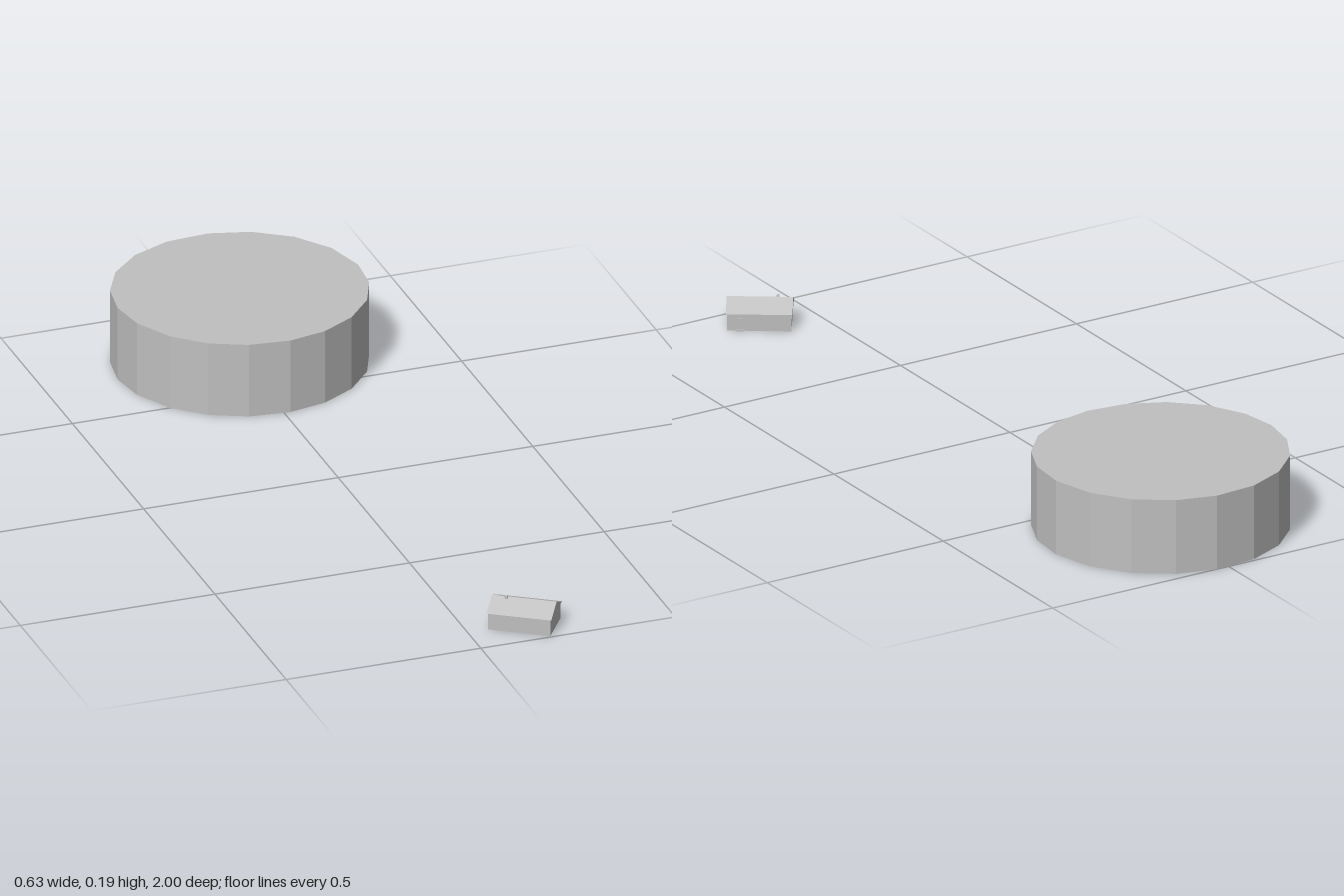
import * as THREE from 'three';

export function createModel() {
  const model = new THREE.Group();
  const grey = new THREE.MeshStandardMaterial({ color: 0xc0c0c0, flatShading: true });
  grey.name = 'plain grey';

  const add = (parent, name, geometry, x = 0, y = 0, z = 0) => {
    const mesh = new THREE.Mesh(geometry, grey);
    mesh.name = name;
    mesh.position.set(x, y, z);
    parent.add(mesh);
    return mesh;
  };
  const box = (parent, name, w, h, d, x, y, z) =>
    add(parent, name, new THREE.BoxGeometry(w, h, d), x, y, z);

  // Round storage tank: 19 slightly uneven sides, angles measured from +z toward +x
  const angles = [2.8, 20.9, 39.3, 58, 76, 94.5, 115.3, 135.2, 155, 174,
    194.2, 213.7, 233.2, 252, 270, 287.8, 307.5, 325.9, 344];
  const outline = new THREE.Shape(angles.map((deg) => {
    const a = THREE.MathUtils.degToRad(deg);
    return new THREE.Vector2(0.314 * Math.sin(a), -0.312 * Math.cos(a));
  }));
  const tank = new THREE.ExtrudeGeometry(outline, { depth: 0.192, bevelEnabled: false });
  tank.rotateX(-Math.PI / 2);
  add(model, 'tank', tank, 0, 0, -0.69);

  // Small house, ridge along its local x
  const house = new THREE.Group();
  house.name = 'house';
  house.position.set(0.145, 0, 0.909);
  house.rotation.y = -0.592;
  model.add(house);
  box(house, 'walls', 0.155, 0.044, 0.104, 0, 0.022, 0);

  // Gabled roof with a small overhang
  const gable = new THREE.Shape([
    new THREE.Vector2(-0.055, 0), new THREE.Vector2(0.055, 0), new THREE.Vector2(0, 0.025),
  ]);
  const roof = new THREE.ExtrudeGeometry(gable, { depth: 0.161, bevelEnabled: false });
  roof.translate(0, 0, -0.0805);
  roof.rotateY(Math.PI / 2);
  add(house, 'roof', roof, 0, 0.0435, 0);

  // Chimney beside the ridge
  box(house, 'chimney', 0.007, 0.014, 0.007, -0.044, 0.065, 0.004);

  // Narrow windows on the front wall and both gables
  box(house, 'frontWindow', 0.003, 0.015, 0.002, -0.033, 0.027, 0.052);
  for (const side of [-1, 1]) {
    box(house, 'gableWindow', 0.002, 0.015, 0.003, side * 0.0775, 0.027, -0.02);
  }

  // Door and step on the back wall
  box(house, 'backDoor', 0.014, 0.032, 0.004, 0.045, 0.016, -0.053);
  box(house, 'doorStep', 0.018, 0.004, 0.008, 0.045, 0.002, -0.054);

  return model;
}
